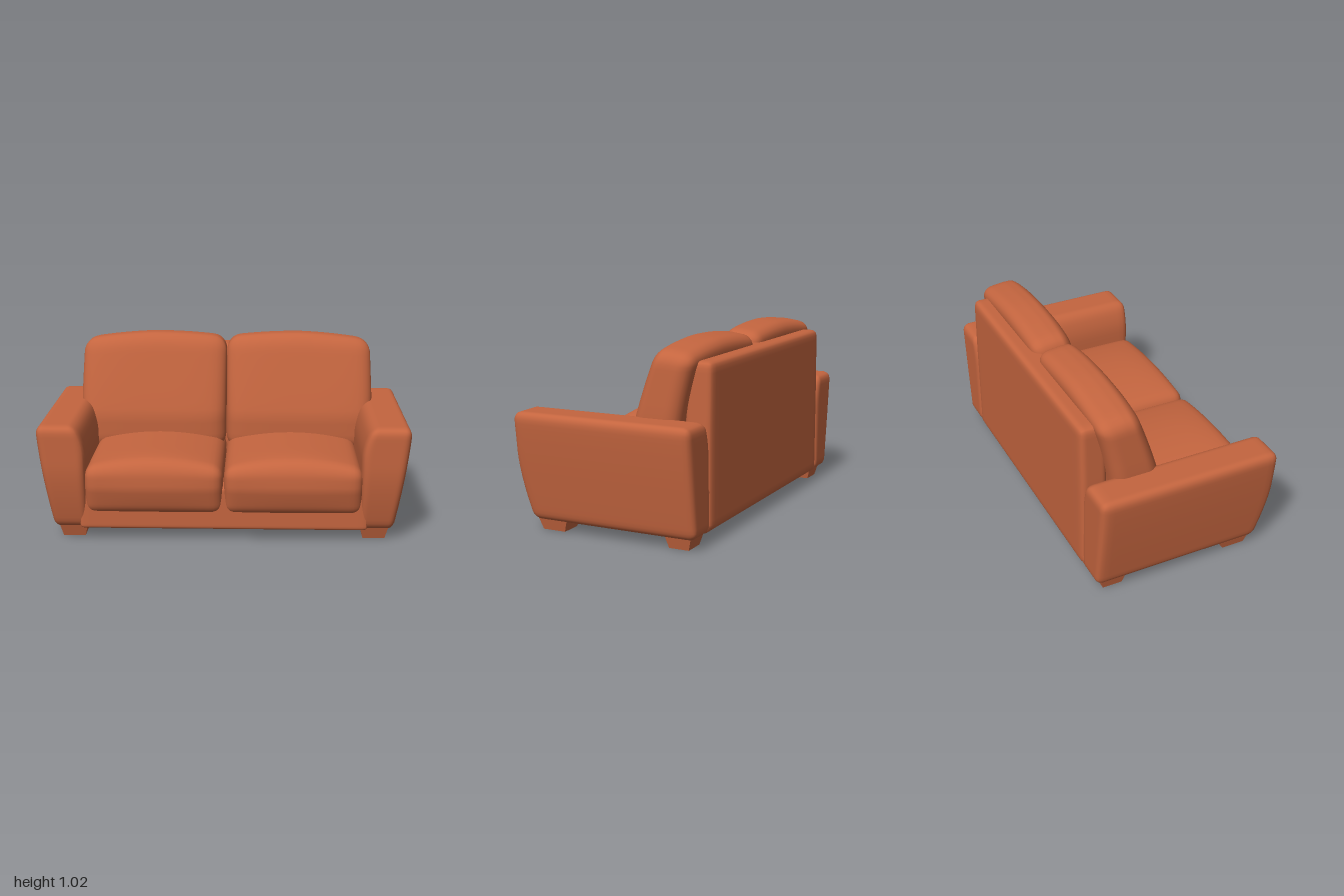
import * as THREE from 'three';
import { mergeVertices } from 'three/addons/utils/BufferGeometryUtils.js';

const SEG = 24;

// Rounded, padded box between two corners; bend(p, u) then reshapes it (u runs -1..1 on each axis)
function softBox(min, max, radius, bend) {
  const half = new THREE.Vector3(...max).sub(new THREE.Vector3(...min)).multiplyScalar(0.5);
  const centre = new THREE.Vector3(...min).add(half);
  let geo = new THREE.BoxGeometry(2, 2, 2, SEG, SEG, SEG);
  geo.deleteAttribute('uv');
  geo.deleteAttribute('normal');
  geo = mergeVertices(geo);
  const pos = geo.attributes.position;
  const p = new THREE.Vector3(), core = new THREE.Vector3(), u = new THREE.Vector3();
  const inner = half.clone().subScalar(radius);
  for (let i = 0; i < pos.count; i++) {
    p.fromBufferAttribute(pos, i);
    // crowd the grid towards the edges, where the rounding is
    p.set(...p.toArray().map((v) => Math.sin(v * Math.PI / 2))).multiply(half);
    core.copy(p).clamp(inner.clone().negate(), inner);
    p.sub(core);
    if (p.lengthSq() > 0) p.setLength(radius);
    p.add(core);
    u.copy(p).divide(half);
    p.add(centre);
    if (bend) bend(p, u);
    pos.setXYZ(i, p.x, p.y, p.z);
  }
  geo.computeVertexNormals();
  return geo;
}

// Four-sided tapered foot
function footGeometry(x, z, w, d) {
  const geo = new THREE.BoxGeometry(w, 0.1, d);
  const pos = geo.attributes.position;
  for (let i = 0; i < pos.count; i++) {
    if (pos.getY(i) > 0) {
      pos.setX(i, pos.getX(i) * 1.4);
      pos.setZ(i, pos.getZ(i) * 1.5);
    }
  }
  geo.translate(x, 0.05, z);
  geo.computeVertexNormals();
  return geo;
}

export function createModel() {
  const group = new THREE.Group();
  const leather = new THREE.MeshStandardMaterial({ color: 0xc4653f });
  leather.name = 'terracotta leather';

  const add = (name, geo) => {
    const mesh = new THREE.Mesh(geo, leather);
    mesh.name = name;
    group.add(mesh);
    return mesh;
  };

  // Base frame and back panel
  add('base', softBox([-0.78, 0.06, -0.5], [0.78, 0.3, 0.46], 0.02));
  add('backPanel', softBox([-0.75, 0.065, -0.512], [0.75, 0.93, -0.36], 0.035, (p) => {
    p.x *= 1 - 0.03 * Math.max(0, p.y - 0.6);
  }));

  for (const [side, s] of [['left', 1], ['right', -1]]) {
    // Arm: outer face leans in towards the floor, inner top edge rolls over
    add(side + 'Arm', softBox(
      [0.74, 0.06, -0.51], [1, 0.642, 0.505], 0.045, (p, u) => {
        const out = (1 + u.x) / 2;
        p.x -= out * 0.075 * Math.pow(Math.min(1, Math.max(0, (0.6 - p.y) / 0.53)), 1.2);
        const roll = Math.max(0, (p.y - 0.46) / 0.18);
        p.x += (1 - out) * 0.05 * roll * roll;
        if (u.z > 0) p.z -= u.z * 0.065 * Math.pow(Math.max(0, (0.42 - p.y) / 0.36), 1.6);
      }).applyMatrix4(new THREE.Matrix4().makeTranslation(-0.87, 0, 0))
    ).position.x = s * 0.87;
    // Mirror the right arm by turning its profile over
    if (s < 0) {
      const geo = group.children[group.children.length - 1].geometry;
      geo.scale(-1, 1, 1);
      const idx = geo.index;
      for (let i = 0; i < idx.count; i += 3) {
        const a = idx.getX(i);
        idx.setX(i, idx.getX(i + 1));
        idx.setX(i + 1, a);
      }
      geo.computeVertexNormals();
    }

    // Seat cushion: domed top, front face drawn in underneath
    const x0 = s > 0 ? 0.003 : -0.75, x1 = s > 0 ? 0.75 : -0.003;
    add(side + 'SeatCushion', softBox(
      [x0, 0.14, -0.3], [x1, 0.415, 0.505], 0.06, (p, u) => {
        const dome = (1 - u.x * u.x);
        if (u.y > 0) p.y += u.y * 0.055 * dome * (1 - Math.pow(Math.abs(u.z), 6) * 0.5);
        if (u.z > 0) {
          p.z += u.z * (0.012 * dome * (1 - u.y * u.y));
          p.z -= u.z * 0.04 * Math.max(0, (0.3 - p.y) / 0.16);
        }
      }));

    // Back cushion: leans back, crowned top that falls away to the rear
    const b0 = s > 0 ? 0.002 : -0.84, b1 = s > 0 ? 0.84 : -0.002;
    add(side + 'BackCushion', softBox(
      [b0, 0.36, -0.355], [b1, 0.99, -0.07], 0.075, (p, u) => {
        const y = p.y;
        const crown = 1 - u.x * u.x;
        if (u.y > 0) {
          p.y += u.y * u.y * (0.028 * crown - 0.02 * Math.max(0, -u.z));
          // slope the outer shoulder slightly
          p.y -= u.y * u.y * 0.015 * Math.max(0, u.x * s);
        }
        const lean = Math.max(0, y - 0.56);
        p.z -= 0.17 * lean + 0.12 * lean * lean;
        if (u.z > 0) {
          p.z -= u.z * 0.1 * lean;
          p.z -= u.z * 0.025 * Math.pow(Math.abs(u.x), 4);
        }
        p.x -= s * 0.012 * Math.max(0, u.x * s) * Math.max(0, u.y);
      }));

    // Feet
    add(side + 'FrontFoot', footGeometry(s * 0.82, 0.335, 0.12, 0.13));
    add(side + 'BackFoot', footGeometry(s * 0.82, -0.4, 0.12, 0.11));
  }
  return group;
}
